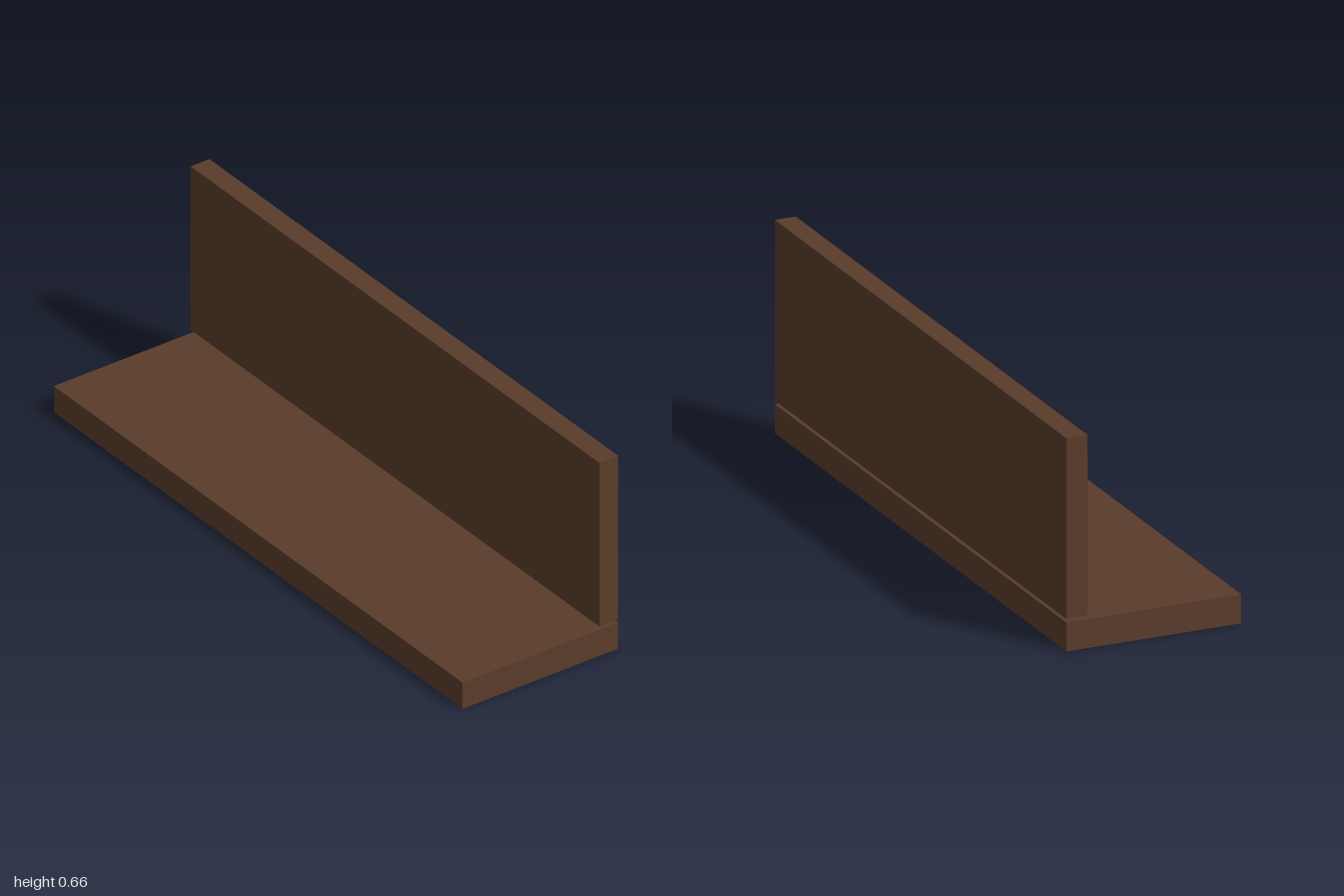
import * as THREE from 'three';

export function createModel() {
  const group = new THREE.Group();
  group.name = 'bench';
  const wood = new THREE.MeshStandardMaterial({ color: 0x5a3c2a });

  // Full-width board spanning the given y and z ranges
  const addBoard = (name, y0, y1, z0, z1) => {
    const board = new THREE.Mesh(new THREE.BoxGeometry(2, y1 - y0, z1 - z0), wood);
    board.name = name;
    board.position.set(0, (y0 + y1) / 2, (z0 + z1) / 2);
    group.add(board);
  };

  addBoard('seat', 0, 0.089, -0.278, 0.278);
  // Backrest floats just above the rear edge of the seat
  addBoard('backrest', 0.1, 0.656, -0.278, -0.211);

  return group;
}
